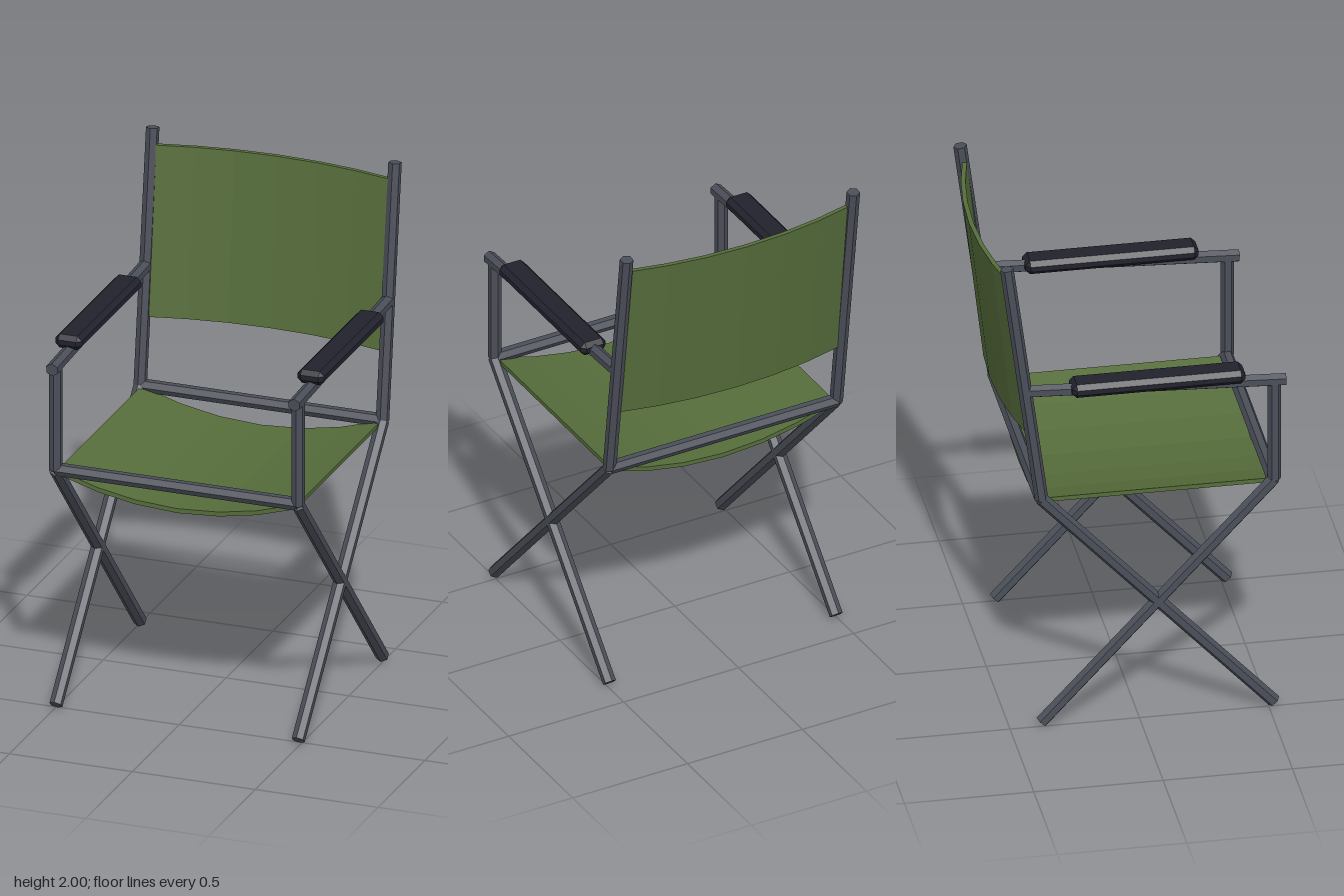
import * as THREE from 'three';
import { ConvexGeometry } from 'three/addons/geometries/ConvexGeometry.js';

const SIDE_X = 0.493; // distance of each side frame from the middle
const TUBE_R = 0.026;

function material(name, color, flatShading = true) {
  const m = new THREE.MeshStandardMaterial({ color, flatShading });
  m.name = name;
  return m;
}

// Hexagonal tube between two points
function tube(name, a, b, mat) {
  const from = new THREE.Vector3(...a), to = new THREE.Vector3(...b);
  const dir = to.clone().sub(from);
  const mesh = new THREE.Mesh(new THREE.CylinderGeometry(TUBE_R, TUBE_R, dir.length(), 6), mat);
  mesh.position.copy(from).add(to).multiplyScalar(0.5);
  mesh.quaternion.setFromUnitVectors(new THREE.Vector3(0, 1, 0), dir.normalize());
  mesh.name = name;
  return mesh;
}

// Box with every edge and corner cut off
function chamferedBox(hx, hy, hz, c) {
  const points = [];
  for (const x of [-1, 1]) for (const y of [-1, 1]) for (const z of [-1, 1]) {
    points.push(
      new THREE.Vector3(x * hx, y * (hy - c), z * (hz - c)),
      new THREE.Vector3(x * (hx - c), y * hy, z * (hz - c)),
      new THREE.Vector3(x * (hx - c), y * (hy - c), z * hz));
  }
  return new ConvexGeometry(points);
}

// Sagging strip of cloth, drawn in the xy plane and extruded along z
function cloth(sag, thickness, length) {
  const xs = [-0.487, -0.325, -0.17, 0, 0.17, 0.325, 0.487];
  const lower = xs.map(x => new THREE.Vector2(x, sag * (x / 0.487) ** 2));
  const upper = lower.map(p => new THREE.Vector2(p.x, p.y + thickness)).reverse();
  return new THREE.ExtrudeGeometry(new THREE.Shape([...lower, ...upper]),
    { depth: length, bevelEnabled: false });
}

export function createModel() {
  const chair = new THREE.Group();
  chair.name = 'foldingChair';
  const metal = material('grey metal', 0x4a4e58);
  const padding = material('dark padding', 0x22222e);
  const canvas = material('green canvas', 0x566d3b);

  // Side frames: crossed legs, back post, arm support, arm tube and pad
  for (const [side, s] of [['left', 1], ['right', -1]]) {
    const frame = new THREE.Group();
    frame.name = side + 'Frame';
    const x = s * SIDE_X;
    frame.add(
      tube('legToBack', [x, 0.985, 0.522], [x, 0.018, -0.377], metal),
      tube('legToFront', [x, 0.985, -0.377], [x, 0.018, 0.522], metal),
      tube('backPost', [x, 0.985, -0.377], [x, 1.997, -0.511], metal),
      tube('armSupport', [x, 0.985, 0.522], [x, 1.412, 0.522], metal),
      tube('armTube', [x, 1.412, 0.566], [x, 1.458, -0.435], metal));
    const pad = new THREE.Mesh(chamferedBox(0.054, 0.028, 0.335, 0.018), padding);
    pad.name = 'armPad';
    pad.position.set(x, 1.459, 0.07);
    frame.add(pad);
    chair.add(frame);
  }

  // Cross bars under the front and back of the seat
  chair.add(
    tube('frontBar', [-SIDE_X, 0.987, 0.518], [SIDE_X, 0.987, 0.518], metal),
    tube('backBar', [-SIDE_X, 0.987, -0.379], [SIDE_X, 0.987, -0.379], metal));

  // Hanging seat
  const seat = new THREE.Mesh(cloth(0.088, 0.018, 0.895), canvas);
  seat.name = 'seat';
  seat.position.set(0, 0.879, -0.375);
  chair.add(seat);

  // Back rest: stood upright, then sheared to lean with the posts
  const height = 0.676;
  const backGeometry = cloth(0.064, 0.018, height);
  backGeometry.rotateX(Math.PI / 2).translate(0, height, 0);
  const pos = backGeometry.attributes.position;
  for (let i = 0; i < pos.count; i++) pos.setZ(i, pos.getZ(i) - 0.117 * pos.getY(i));
  backGeometry.computeVertexNormals();
  const back = new THREE.Mesh(backGeometry, canvas);
  back.name = 'backRest';
  back.position.set(0, 1.258, -0.488);
  chair.add(back);

  return chair;
}
